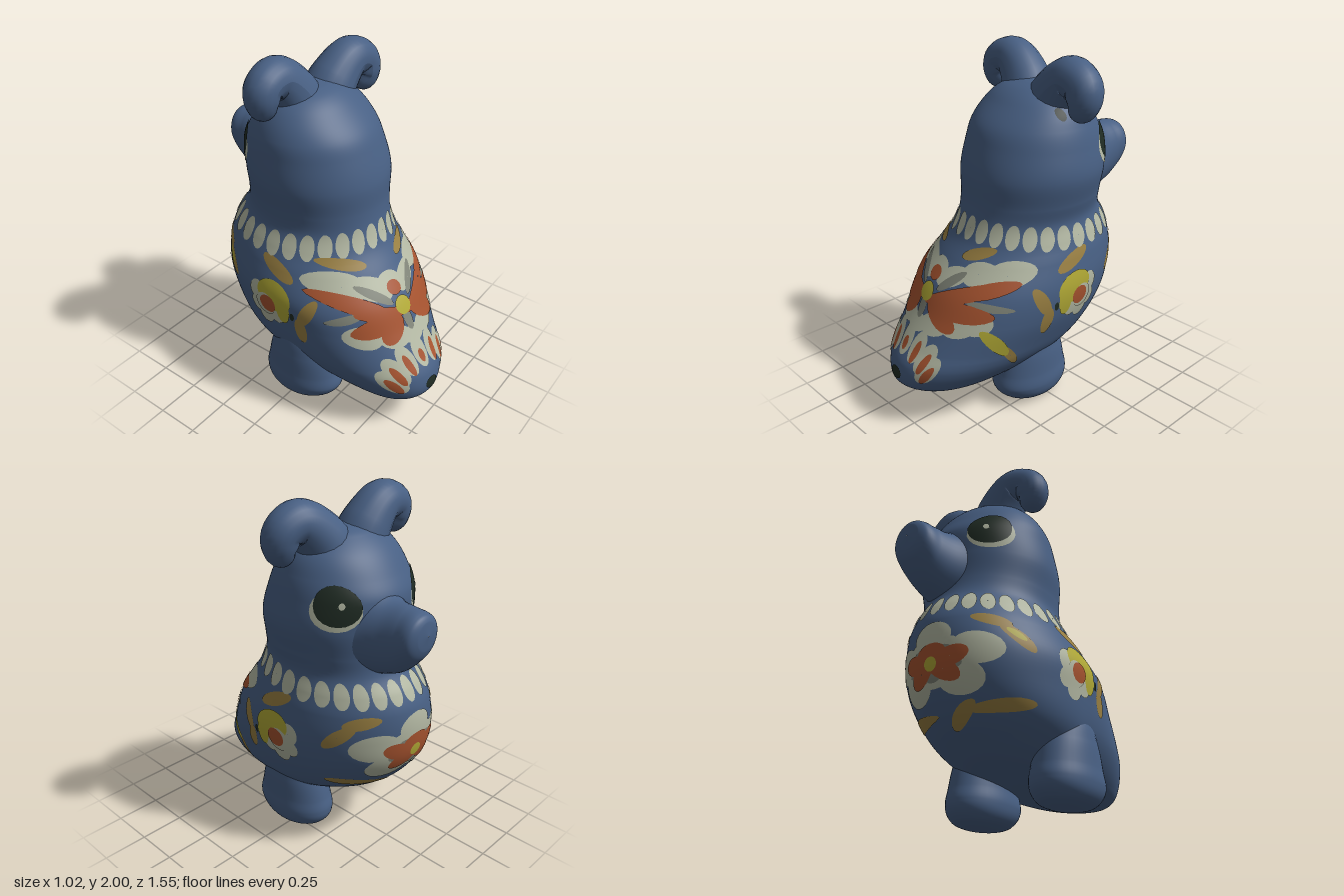
import * as THREE from 'three';
import { ParametricGeometry } from 'three/addons/geometries/ParametricGeometry.js';

const material = (name, color) => Object.assign(new THREE.MeshStandardMaterial({ color }), { name });
const M = {
  blue: material('blue glaze', 0x486084),
  cream: material('cream paint', 0xb4b9a4),
  orange: material('orange paint', 0xa6532f),
  yellow: material('yellow paint', 0xb2aa36),
  ochre: material('ochre paint', 0x9a8042),
  grey: material('grey paint', 0x7f8377),
  dark: material('dark paint', 0x202c24),
};

// Smooth interpolation of table rows by their first column
function sample(rows, s) {
  let i = 0;
  while (i < rows.length - 2 && s > rows[i + 1][0]) i++;
  const a = rows[i], b = rows[i + 1], p = rows[i - 1] || a, n = rows[i + 2] || b;
  const h = b[0] - a[0], f = (s - a[0]) / h, f2 = f * f, f3 = f2 * f;
  return a.map((va, c) => {
    const ma = (b[c] - p[c]) / (b[0] - p[0]) * h, mb = (n[c] - va) / (n[0] - a[0]) * h;
    return (2 * f3 - 3 * f2 + 1) * va + (f3 - 2 * f2 + f) * ma + (3 * f2 - 2 * f3) * b[c] + (f3 - f2) * mb;
  });
}
// Even steps per table row, so rounded ends get enough rings
function rowAt(rows, v) {
  const k = Math.min(v, 1) * (rows.length - 1), i = Math.min(Math.floor(k), rows.length - 2);
  return rows[i][0] + (rows[i + 1][0] - rows[i][0]) * (k - i);
}

// Body and head sections: y, centre x, half width, back z, face z, widest z
const BODY = [
  [0.155, -0.07, 0.002, 0.53, 0.52, 0.525], [0.162, -0.07, 0.11, 0.64, 0.3, 0.46],
  [0.19, -0.06, 0.22, 0.72, 0.05, 0.34], [0.25, -0.05, 0.305, 0.77, -0.22, 0.18],
  [0.35, -0.04, 0.385, 0.76, -0.42, 0.06], [0.45, -0.035, 0.43, 0.7, -0.54, 0],
  [0.6, -0.02, 0.465, 0.61, -0.635, -0.02], [0.75, -0.015, 0.475, 0.53, -0.66, -0.05],
  [0.9, 0, 0.435, 0.42, -0.65, -0.1], [1, 0.01, 0.395, 0.35, -0.61, -0.12],
  [1.1, 0.02, 0.36, 0.31, -0.55, -0.12], [1.2, 0.03, 0.37, 0.29, -0.53, -0.12],
  [1.35, 0.035, 0.395, 0.28, -0.53, -0.13], [1.5, 0.03, 0.375, 0.235, -0.53, -0.14],
  [1.6, 0.025, 0.35, 0.19, -0.48, -0.145], [1.7, 0.025, 0.295, 0.1, -0.41, -0.15],
  [1.77, 0.02, 0.21, 0.02, -0.33, -0.155], [1.805, 0.025, 0.12, -0.06, -0.26, -0.16],
  [1.82, 0.03, 0.002, -0.16, -0.164, -0.162],
];
// The low back leans to one side and is blunter than an ellipse
const lean = (y) => -0.06 * Math.max(0, 1 - y);
const blunt = (y) => THREE.MathUtils.clamp(0.72 + (y - 0.4) * 0.5, 0.72, 1);
function bodyPoint(t, y, target = new THREE.Vector3()) {
  const [, cx, w, zB, zF, zc] = sample(BODY, y), c = Math.cos(t);
  return target.set(cx + w * Math.sin(t) + lean(y) * Math.max(0, c), y, c > 0 ? zc + (zB - zc) * c ** blunt(y) : zc + (zc - zF) * c);
}

// Angle round the body for a painted point; side is a region name or an angle
function paintAngle(side, a, y) {
  if (typeof side === 'number') return side + a / 0.38;
  const [, cx, w, zB, zF, zc] = sample(BODY, y);
  const clamp = (s) => THREE.MathUtils.clamp(s, -0.99, 0.99);
  if (side === 'plusX' || side === 'minusX') {
    const t = Math.acos(a > zc ? clamp((a - zc) / (zB - zc)) ** (1 / blunt(y)) : clamp((a - zc) / (zc - zF)));
    return side === 'plusX' ? t : -t;
  }
  if (side === 'chest') return Math.PI - Math.asin(clamp((a - cx) / w));
  let t = 0;
  for (let i = 0; i < 4; i++) t = Math.asin(clamp((a - cx - lean(y) * Math.cos(t)) / w));
  return t;
}

export function createModel() {
  const root = new THREE.Group();
  const add = (name, geometry, mat, parent = root) => {
    const mesh = new THREE.Mesh(geometry, mat);
    mesh.name = name;
    parent.add(mesh);
  };

  add('bodyAndHead', new ParametricGeometry((u, v, p) => bodyPoint(u * Math.PI * 2, rowAt(BODY, v), p), 96, 108), M.blue);

  // Muzzle sections: distance forward, centre x, centre y, half width, half height
  const MUZZLE = [[0.33, 0.06, 1.33, 0.28, 0.29], [0.46, 0.07, 1.32, 0.195, 0.232], [0.55, 0.08, 1.31, 0.158, 0.198],
    [0.65, 0.09, 1.33, 0.135, 0.17], [0.73, 0.095, 1.365, 0.12, 0.125], [0.763, 0.095, 1.38, 0.075, 0.08],
    [0.774, 0.095, 1.385, 0.002, 0.002]];
  add('muzzle', new ParametricGeometry((u, v, p) => {
    const [d, x, y, rx, ry] = sample(MUZZLE, rowAt(MUZZLE, v)), a = u * Math.PI * 2;
    p.set(x + rx * Math.sin(a), y + ry * Math.cos(a), -d);
  }, 40, 42), M.blue);

  // Feet and haunches: y, half width, half depth
  const FOOT = [[0, 0.003, 0.003], [0.008, 0.09, 0.13], [0.04, 0.145, 0.205], [0.11, 0.17, 0.25],
    [0.2, 0.162, 0.235], [0.32, 0.15, 0.205], [0.45, 0.12, 0.15], [0.58, 0.03, 0.05]];
  const foot = (name, x, y0) => add(name, new ParametricGeometry((u, v, p) => {
    const [y, rx, rz] = sample(FOOT, rowAt(FOOT, v)), a = u * Math.PI * 2;
    p.set(x + rx * Math.sin(a), y0 + y, 0.045 + rz * Math.cos(a) - 0.15 * Math.max(0, 0.12 - y));
  }, 40, 42), M.blue);
  foot('leftFoot', 0.2, 0);
  foot('rightFoot', -0.335, 0.04);

  // Curled ears: tubes with a thick root and a rounded tip
  const ear = (name, pts) => {
    const curve = new THREE.CatmullRomCurve3(pts.map((q) => new THREE.Vector3(...q)));
    const n = 48, radial = 20, g = new THREE.TubeGeometry(curve, n, 1, radial);
    const pos = g.attributes.position, q = new THREE.Vector3();
    for (let i = 0; i <= n; i++) {
      const u = i / n, c = curve.getPointAt(u), e = Math.max(0, (u - 0.78) / 0.22);
      const r = (0.088 + 0.08 * (1 - u) ** 1.5) * Math.sqrt(Math.max(0.0004, 1 - e * e));
      for (let j = 0; j <= radial; j++) {
        const k = i * (radial + 1) + j;
        q.fromBufferAttribute(pos, k).sub(c).multiplyScalar(r).add(c);
        pos.setXYZ(k, q.x, q.y, q.z);
      }
    }
    g.computeVertexNormals();
    add(name, g, M.blue);
  };
  ear('leftEar', [[0.12, 1.63, -0.16], [0.2, 1.77, -0.145], [0.32, 1.86, -0.125], [0.41, 1.82, -0.11], [0.41, 1.73, -0.1], [0.35, 1.68, -0.1]]);
  ear('rightEar', [[-0.04, 1.64, -0.18], [-0.1, 1.79, -0.2], [-0.2, 1.885, -0.21], [-0.3, 1.86, -0.205], [-0.31, 1.78, -0.2], [-0.26, 1.72, -0.2]]);

  // A painted oval hugging the body: centre, half length, half width, tilt in degrees, layer
  const group = (name) => { const g = new THREE.Group(); g.name = name; root.add(g); return g; };
  const dab = (parent, mat, side, a, b, len, wid, tilt = 0, layer = 1) => {
    const flip = side === 'chest' || side === 'plusX' ? 1 : -1, r = THREE.MathUtils.degToRad(tilt);
    const base = typeof side === 'number' ? 0 : a;
    const e = 0.004, du = new THREE.Vector3(), dv = new THREE.Vector3(), o = new THREE.Vector3();
    add('paintDab', new ParametricGeometry((u, v, p) => {
      const k = 0.01 + 0.99 * v, w = flip * u * Math.PI * 2;
      const x = len * k * Math.cos(w), y = wid * k * Math.sin(w);
      const yy = b + x * Math.sin(r) + y * Math.cos(r);
      const t = paintAngle(side, base + x * Math.cos(r) - y * Math.sin(r), yy);
      bodyPoint(t, yy, o);
      bodyPoint(t + e, yy, du).sub(o);
      bodyPoint(t, yy + e, dv).sub(o);
      p.copy(o).addScaledVector(du.cross(dv).normalize(), 0.002 + 0.002 * layer);
    }, 20, 5), mat, parent);
  };
  const dabs = (parent, mat, side, layer, list) => list.forEach((d) => dab(parent, mat, side, d[0], d[1], d[2], d[3], d[4] || 0, layer));

  // Collar of cream beads, dipping at the sides
  const collar = group('collar');
  for (let i = 0; i < 28; i++) {
    const t = (i / 28) * Math.PI * 2, c = Math.cos(t);
    dab(collar, M.cream, t, 0, 1.02 + 0.03 * c + 0.022 * c * c, 0.036, 0.066);
  }

  // Eyes
  [['leftEye', 129, 1], ['rightEye', -141, -1]].forEach(([name, deg, s]) => {
    const eye = group(name), at = (d) => THREE.MathUtils.degToRad(deg + d * s);
    dab(eye, M.cream, at(0), 0, 1.465, 0.132, 0.1, -s * 10, 1);
    dab(eye, M.dark, at(1), 0, 1.49, 0.122, 0.098, -s * 14, 2);
    dab(eye, M.cream, at(4), 0, 1.495, 0.016, 0.017, 0, 3);
  });
  dab(group('earMark'), M.dark, 'plusX', -0.05, 1.68, 0.025, 0.03);

  // Large flower across the back
  const back = group('backFlower');
  dabs(back, M.cream, 'back', 1, [[-0.32, 0.87, 0.1, 0.07], [-0.2, 0.84, 0.1, 0.06, -20], [-0.09, 0.85, 0.07, 0.045],
    [0.03, 0.83, 0.1, 0.05, 20], [0.17, 0.87, 0.09, 0.06], [0.29, 0.875, 0.09, 0.07], [-0.34, 0.62, 0.075, 0.065],
    [-0.2, 0.59, 0.09, 0.055], [-0.09, 0.57, 0.08, 0.045], [0.03, 0.59, 0.09, 0.055], [0.16, 0.61, 0.09, 0.06], [0.25, 0.63, 0.06, 0.06]]);
  dabs(back, M.grey, 'back', 2, [[-0.21, 0.81, 0.09, 0.025, -40], [0.04, 0.81, 0.09, 0.025, 40], [-0.09, 0.65, 0.03, 0.06],
    [-0.38, 0.72, 0.07, 0.02, 20], [0.27, 0.72, 0.1, 0.02, -10]]);
  dabs(back, M.orange, 'back', 3, [[-0.31, 0.78, 0.14, 0.045, -28], [-0.22, 0.72, 0.13, 0.035, -10], [-0.26, 0.67, 0.13, 0.05, 15],
    [0.13, 0.76, 0.23, 0.04, 20], [0.25, 0.8, 0.11, 0.04, 18], [0.15, 0.68, 0.16, 0.05, -4], [0.05, 0.64, 0.12, 0.05, -30],
    [-0.2, 0.63, 0.09, 0.05, 40], [-0.09, 0.815, 0.045, 0.035]]);
  dab(back, M.yellow, 'back', -0.09, 0.725, 0.052, 0.047, 0, 4);
  dabs(back, M.ochre, 'back', 2, [[-0.25, 0.965, 0.09, 0.03, -12], [0.12, 0.96, 0.09, 0.03, 18]]);

  // Fan of petals over the tail end
  const fan = group('tailFan');
  for (let i = 0; i < 7; i++) {
    const deg = i * 30, r = THREE.MathUtils.degToRad(deg), side = 90 + (deg - 90) * 0.35;
    const x = -0.11 + 0.195 * Math.cos(r), y = 0.365 + 0.115 * Math.sin(r);
    dab(fan, M.cream, 'back', x, y, 0.085, 0.047, side, 1);
    dab(fan, M.orange, 'back', x, y - 0.025, i === 3 ? 0.035 : 0.06, 0.02, side, 2);
  }
  dab(fan, M.dark, 'back', -0.11, 0.3, 0.045, 0.035, 0, 2);

  // Flowers and leaves on both flanks
  ['plusX', 'minusX'].forEach((side) => {
    const flank = group(side === 'plusX' ? 'leftFlankFlower' : 'rightFlankFlower');
    dabs(flank, M.cream, side, 1, [[-0.16, 0.74, 0.06, 0.065], [-0.165, 0.65, 0.05, 0.055], [-0.1, 0.6, 0.055, 0.055], [-0.02, 0.63, 0.05, 0.05]]);
    dabs(flank, M.yellow, side, 2, [[-0.04, 0.755, 0.12, 0.085, -15], [0.03, 0.69, 0.045, 0.085]]);
    dab(flank, M.cream, side, -0.095, 0.685, 0.07, 0.07, 0, 3);
    dab(flank, M.orange, side, -0.075, 0.695, 0.057, 0.054, 0, 4);
    dab(flank, M.dark, side, 0.09, 0.675, 0.015, 0.025);
    dabs(flank, M.ochre, side, 1, [[0.175, 0.72, 0.09, 0.038, 65], [0.145, 0.6, 0.08, 0.038, 100], [-0.05, 0.905, 0.12, 0.037, -22],
      [-0.43, 0.79, 0.1, 0.036, -42], [-0.52, 0.875, 0.075, 0.034, -15], [-0.42, 0.46, 0.11, 0.032, 6]]);
  });
  const leaves = group('extraLeaves');
  dab(leaves, M.ochre, 'plusX', 0.34, 0.43, 0.09, 0.025, 55);
  dab(leaves, M.yellow, 'plusX', 0.42, 0.52, 0.1, 0.036, 52, 2);
  dab(leaves, M.yellow, 'minusX', -0.44, 0.805, 0.05, 0.018, -35, 2);
  dab(leaves, M.ochre, 'chest', -0.1, 0.43, 0.1, 0.03, -30);

  // Broad chest flower
  const chest = group('chestFlower');
  dab(chest, M.cream, 'chest', -0.01, 0.68, 0.22, 0.13);
  for (let i = 0; i < 5; i++) {
    const deg = 90 + i * 72, r = THREE.MathUtils.degToRad(deg), g = r + Math.PI / 5;
    dab(chest, M.cream, 'chest', -0.01 + 0.23 * Math.cos(r), 0.685 + 0.12 * Math.sin(r), 0.115, 0.085, 0, 1);
    dab(chest, M.grey, 'chest', -0.01 + 0.12 * Math.cos(g), 0.67 + 0.065 * Math.sin(g), 0.05, 0.028, 0, 2);
    dab(chest, M.orange, 'chest', -0.01 + 0.115 * Math.cos(r), 0.67 + 0.05 * Math.sin(r), 0.09, 0.05, Math.cos(r) * Math.sin(r) * 60, 3);
  }
  dab(chest, M.yellow, 'chest', -0.01, 0.665, 0.038, 0.036, 0, 4);
  return root;
}
